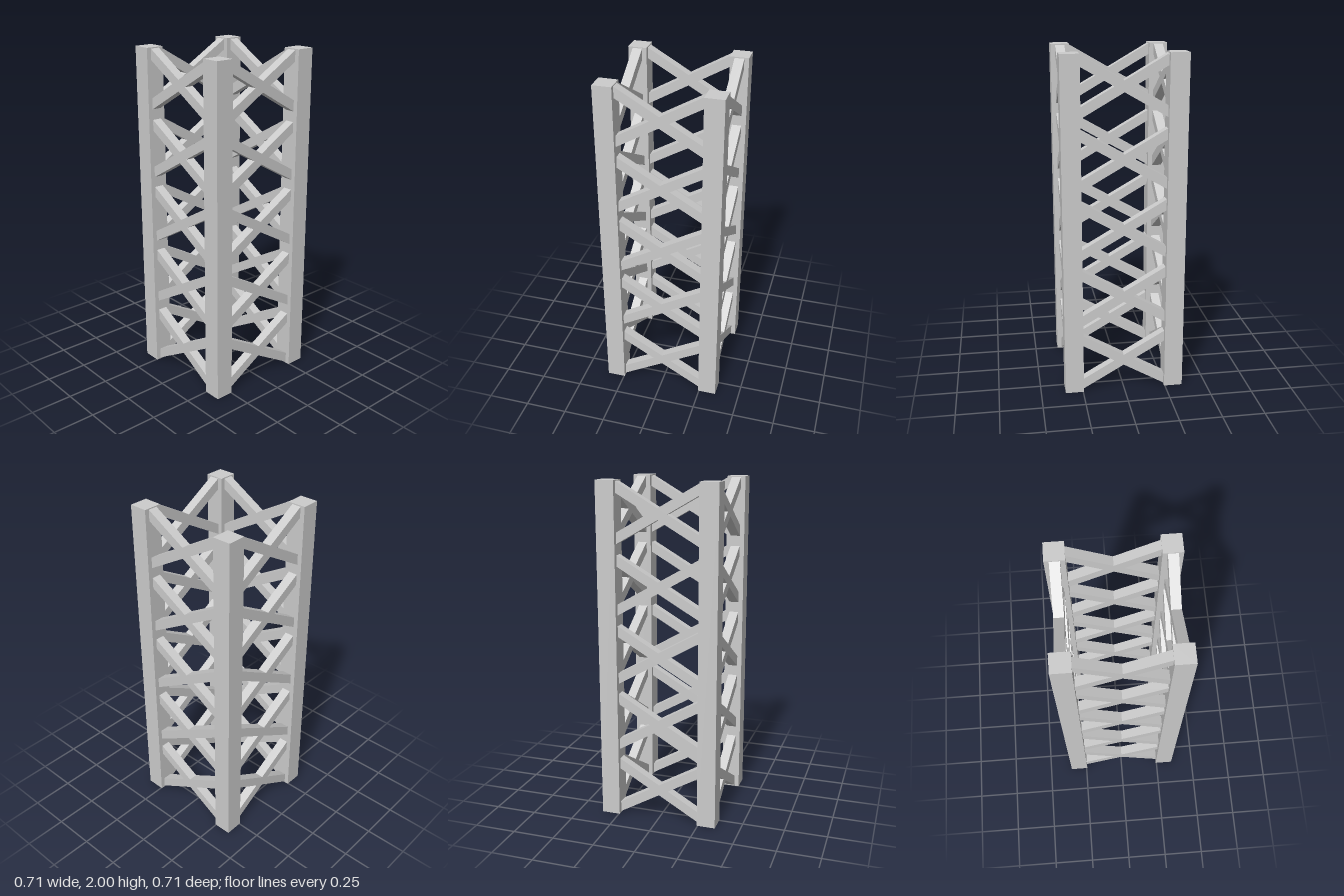
import * as THREE from 'three';

const HEIGHT = 2, POST = 0.11, OFFSET = 0.3;
const REACH = OFFSET - POST / 2; // inner face of the posts
const BRACE = 0.056, SLOPE = Math.tan(Math.PI / 6);
const LEVELS = 5, PITCH = 0.41;

// One X brace as a single solid, its arms cut flush with the posts
function crossGeometry() {
  const v = BRACE / 2 / Math.cos(Math.PI / 6); // half of an arm's vertical thickness
  const x = REACH, hi = REACH * SLOPE + v, lo = REACH * SLOPE - v, notch = v / SLOPE;
  const shape = new THREE.Shape([
    [notch, 0], [x, lo], [x, hi], [0, v], [-x, hi], [-x, lo],
    [-notch, 0], [-x, -lo], [-x, -hi], [0, -v], [x, -hi], [x, -lo],
  ].map(([a, b]) => new THREE.Vector2(a, b)));
  const geometry = new THREE.ExtrudeGeometry(shape, { depth: BRACE, bevelEnabled: false });
  return geometry.translate(0, 0, OFFSET - BRACE / 2);
}

export function createModel() {
  const model = new THREE.Group();
  model.name = 'latticeTower';
  const material = new THREE.MeshStandardMaterial({ color: 0xcccccc, flatShading: true });

  // Four square corner posts
  const postGeometry = new THREE.BoxGeometry(POST, HEIGHT, POST);
  for (const sx of [-1, 1]) {
    for (const sz of [-1, 1]) {
      const post = new THREE.Mesh(postGeometry, material);
      post.name = `${sz > 0 ? 'front' : 'back'}${sx > 0 ? 'Left' : 'Right'}Post`;
      post.position.set(sx * OFFSET, HEIGHT / 2, sz * OFFSET);
      model.add(post);
    }
  }

  // A stack of X braces on each side
  const braceGeometry = crossGeometry();
  ['front', 'left', 'back', 'right'].forEach((side, i) => {
    const panel = new THREE.Group();
    panel.name = `${side}Bracing`;
    panel.rotation.y = i * Math.PI / 2;
    for (let level = 0; level < LEVELS; level++) {
      const brace = new THREE.Mesh(braceGeometry, material);
      brace.name = `${side}CrossBrace${level + 1}`;
      brace.position.y = HEIGHT / 2 + (level - (LEVELS - 1) / 2) * PITCH;
      panel.add(brace);
    }
    model.add(panel);
  });

  return model;
}
